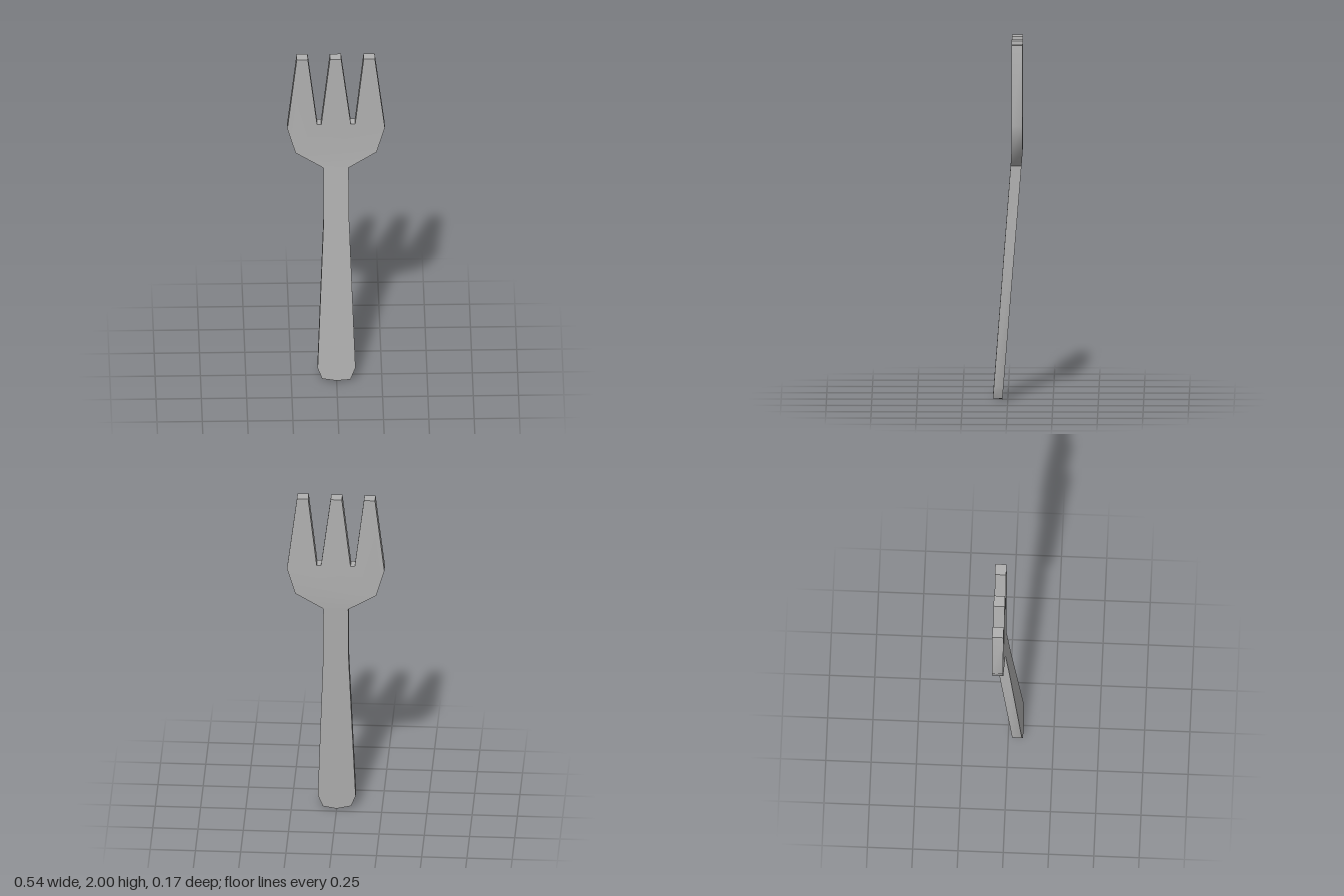
import * as THREE from 'three';
import { toCreasedNormals } from 'three/addons/utils/BufferGeometryUtils.js';

// Linear interpolation through [y, value] stations
function along(stations, y) {
  for (let i = 1; i < stations.length; i++) {
    const [y0, a] = stations[i - 1], [y1, b] = stations[i];
    if (y <= y1 || i === stations.length - 1) {
      return THREE.MathUtils.lerp(a, b, THREE.MathUtils.clamp((y - y0) / (y1 - y0), 0, 1));
    }
  }
}

// Front and back surfaces: leaning handle, bend at the shoulder, upright head
const FRONT = [[0, 0.083], [1.31, -0.016], [1.405, -0.021], [2, -0.021]];
const BACK = [[0, 0.03], [1.31, -0.076], [1.405, -0.083], [2, -0.083]];

// Outlines, counter-clockwise from the front; 'open' lists edges shared with a neighbour
const SECTIONS = [
  { // handle
    points: [[0, 0], [0.076, 0.014], [0.104, 0.085], [0.07, 1.0], [0.068, 1.31],
      [-0.07, 1.31], [-0.07, 1.0], [-0.105, 0.085], [-0.08, 0.02]],
    open: [4],
  },
  { // shoulder
    points: [[0.068, 1.31], [0.222, 1.405], [-0.225, 1.405], [-0.07, 1.31]],
    open: [1, 3],
  },
  { // head with three tines
    points: [[-0.225, 1.405], [0.222, 1.405], [0.268, 1.56], [0.213, 2], [0.151, 2],
      [0.104, 1.585], [0.08, 1.585], [0.027, 2], [-0.035, 2],
      [-0.083, 1.585], [-0.106, 1.585], [-0.157, 2], [-0.218, 2], [-0.27, 1.56]],
    open: [0],
  },
];

function forkGeometry() {
  const pos = [];
  const front = ([x, y]) => [x, y === 0 ? 0.008 : y, along(FRONT, y)];
  const back = ([x, y]) => [x, y, along(BACK, y)];
  for (const { points, open } of SECTIONS) {
    // front and back faces
    const outline = points.map(([x, y]) => new THREE.Vector2(x, y));
    for (const [a, b, c] of THREE.ShapeUtils.triangulateShape(outline, [])) {
      pos.push(...front(points[a]), ...front(points[b]), ...front(points[c]));
      pos.push(...back(points[a]), ...back(points[c]), ...back(points[b]));
    }
    // rim around the edge
    points.forEach((p, i) => {
      if (open.includes(i)) return;
      const q = points[(i + 1) % points.length];
      pos.push(...front(p), ...back(p), ...back(q));
      pos.push(...front(p), ...back(q), ...front(q));
    });
  }
  const geometry = new THREE.BufferGeometry();
  geometry.setAttribute('position', new THREE.Float32BufferAttribute(pos, 3));
  return toCreasedNormals(geometry, 0.75);
}

export function createModel() {
  const group = new THREE.Group();
  group.name = 'fork';
  const metal = new THREE.MeshStandardMaterial({ color: 0xb0b0b0 });
  metal.name = 'greyMetal';
  const body = new THREE.Mesh(forkGeometry(), metal);
  body.name = 'forkBody';
  group.add(body);
  return group;
}
